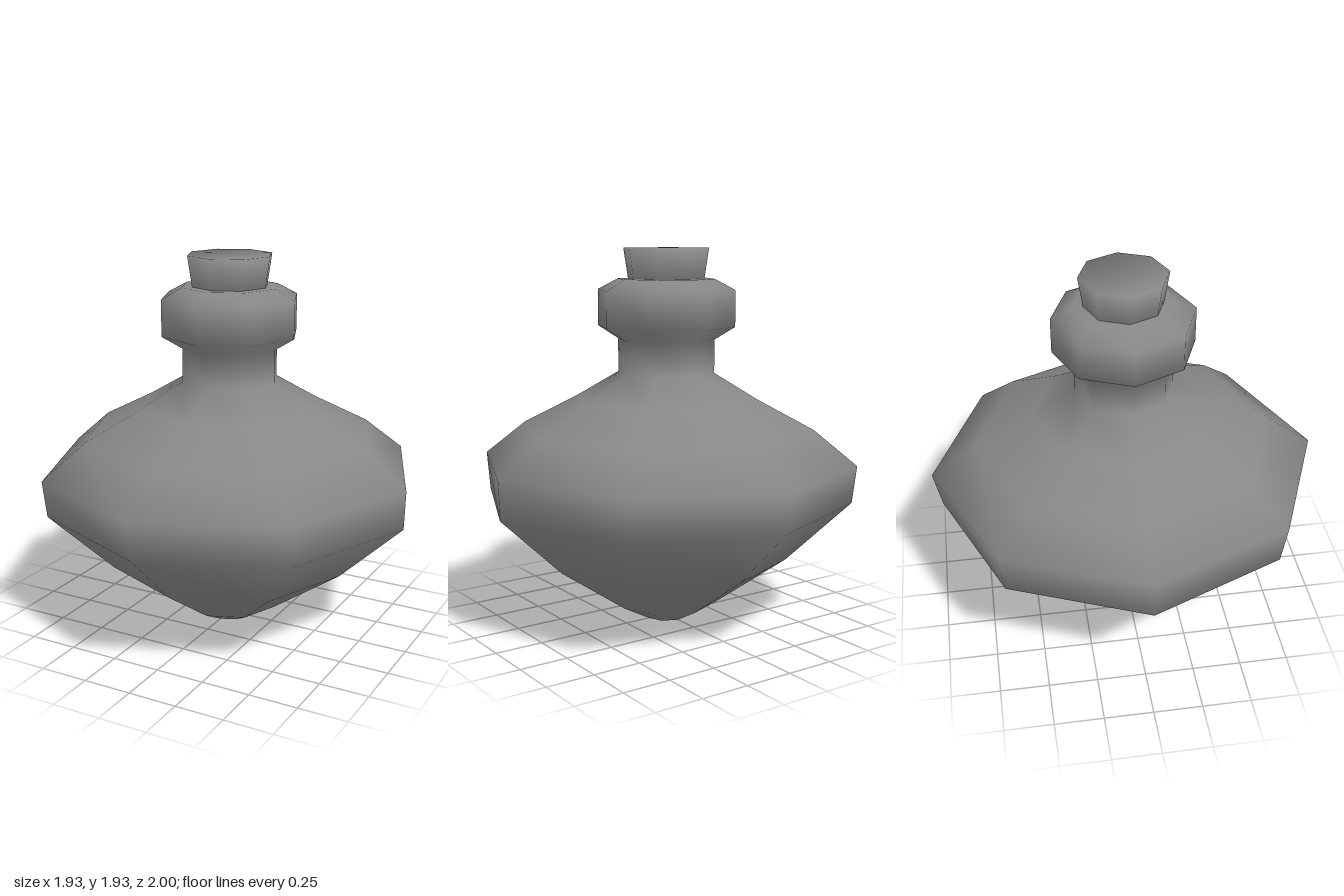
import * as THREE from 'three';

const SIDES = 8;
const material = new THREE.MeshStandardMaterial({ color: 0x888888 });

// Octagonal lathe from [radius, y] pairs, listed bottom to top,
// with each ring's normal halfway between its two neighbouring bands
function turned(name, profile) {
  const points = profile.map(([r, y]) => new THREE.Vector2(r, y));
  const geometry = new THREE.LatheGeometry(points, SIDES);
  const bands = points.slice(1).map((p, j) =>
    new THREE.Vector2(p.y - points[j].y, points[j].x - p.x).normalize());
  const last = points.length - 1;
  for (let i = 0; i <= SIDES; i++) {
    const phi = (i / SIDES) * Math.PI * 2;
    for (let j = 0; j <= last; j++) {
      const n = bands[Math.max(j - 1, 0)].clone().add(bands[Math.min(j, last - 1)]).normalize();
      geometry.attributes.normal.setXYZ(
        i * points.length + j, n.x * Math.sin(phi), n.y, n.x * Math.cos(phi));
    }
  }
  const mesh = new THREE.Mesh(geometry, material);
  mesh.name = name;
  return mesh;
}

// Swap the pointed fan at the top for three flat strips across the octagon
function stripTop(geometry, rings) {
  const old = Array.from(geometry.index.array);
  const index = [];
  for (let t = 0; t < old.length; t += 3) {
    const tri = old.slice(t, t + 3);
    if (tri.every((v) => v % rings !== rings - 1)) index.push(...tri);
  }
  const rim = (k) => k * rings + rings - 2;
  for (const [a, b, c, d] of [[3, 4, 5, 6], [2, 3, 6, 7], [7, 0, 1, 2]]) {
    index.push(rim(a), rim(b), rim(c), rim(a), rim(c), rim(d));
  }
  geometry.setIndex(index);
}

export function createModel() {
  const group = new THREE.Group();
  group.name = 'bottle';

  // Bulbous body, narrow neck and rounded lip in one continuous skin
  const shoulderY = 0.845;
  const glass = turned('bottleBody', [
    [0, 0], [0.11, 0], [0.26, 0.08], [0.63, 0.335], [0.96, 0.65],
    [1, shoulderY], [0.76, 1.02], [0.47, 1.17], [0.25, 1.3],
    [0.25, 1.47], [0.355, 1.535], [0.355, 1.72], [0.25, 1.775], [0, 1.775],
  ]);

  // The widest ring is slightly narrower across x
  const pos = glass.geometry.attributes.position;
  for (let i = 0; i < pos.count; i++) {
    if (Math.abs(pos.getY(i) - shoulderY) < 0.001) pos.setX(i, pos.getX(i) * 0.965);
  }
  group.add(glass);

  // Tapered stopper
  const corkProfile = [[0, 1.7], [0.185, 1.7], [0.22, 1.93], [0, 1.93]];
  const cork = turned('cork', corkProfile);
  stripTop(cork.geometry, corkProfile.length);
  group.add(cork);

  return group;
}
